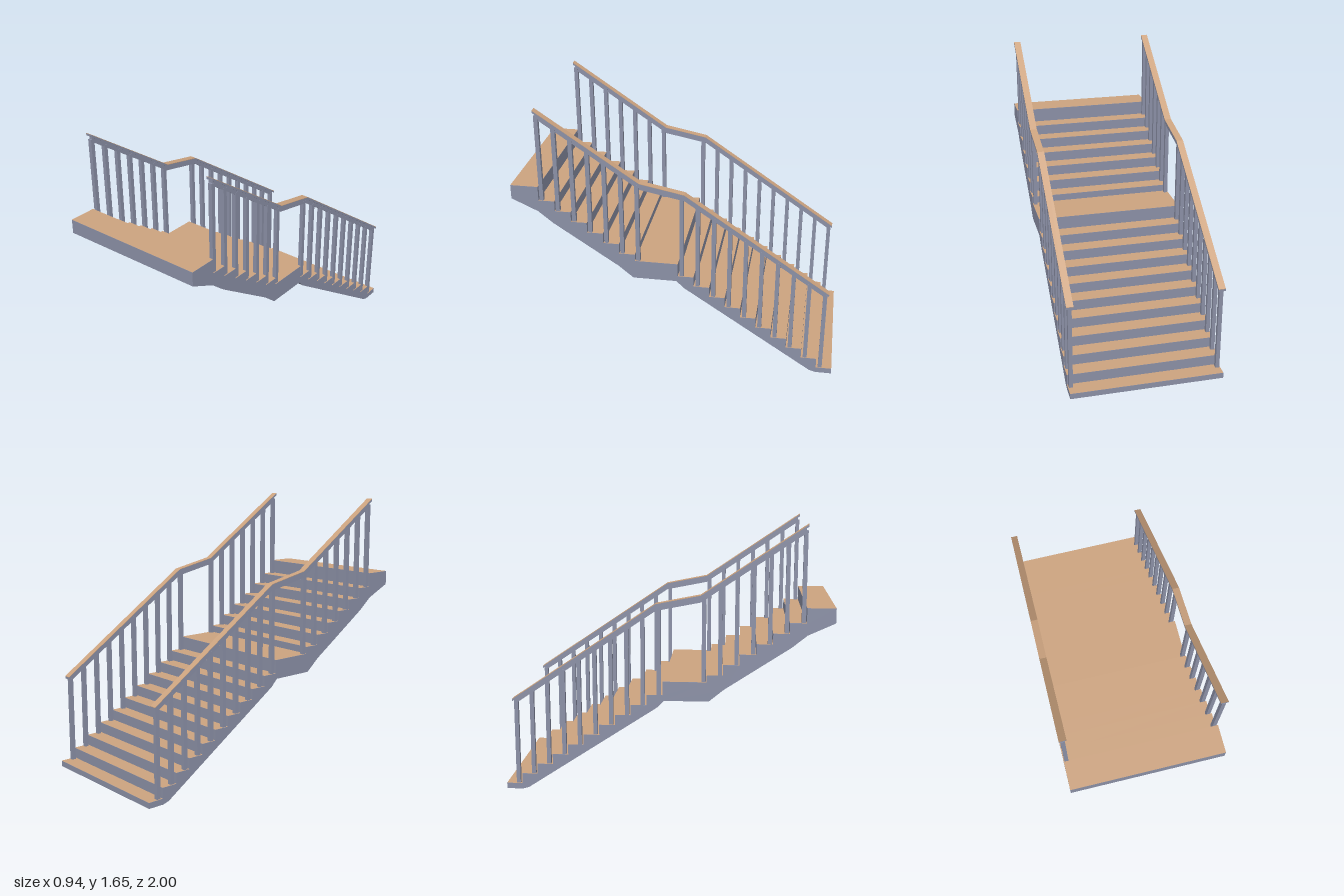
import * as THREE from 'three';

export function createModel() {
  const stair = new THREE.Group();
  stair.name = 'staircase';
  const paint = new THREE.MeshStandardMaterial({ color: 0x8b90a6 });
  paint.name = 'greyPaint';
  const wood = new THREE.MeshStandardMaterial({ color: 0xcca37f });
  wood.name = 'tanWood';

  const add = (parent, name, geometry, material) => {
    const mesh = new THREE.Mesh(geometry, material);
    mesh.name = name;
    parent.add(mesh);
    return mesh;
  };

  // Side profile in [z, y] pairs, extruded across x
  const prism = (points, width, x = 0) => {
    const shape = new THREE.Shape(points.map(([z, y]) => new THREE.Vector2(z, y)));
    const g = new THREE.ExtrudeGeometry(shape, { depth: width, bevelEnabled: false });
    g.translate(0, 0, -width / 2);
    g.rotateY(-Math.PI / 2);
    return g.translate(x, 0, 0);
  };

  // Steps as [zStart, zEnd, height]: lower flight, landing, upper flight, top platform
  const steps = [];
  const lowerRun = 0.0977, upperRun = 0.0978, rise = 0.065;
  for (let i = 0; i < 10; i++) {
    steps.push([-1 + i * lowerRun, -1 + (i + 1) * lowerRun, 0.035 + i * rise]);
  }
  steps.push([-0.023, 0.243, 0.704]);
  for (let i = 0; i < 6; i++) {
    steps.push([0.243 + i * upperRun, 0.243 + (i + 1) * upperRun, 0.748 + i * rise]);
  }
  steps.push([0.83, 1, 1.163]);

  // Solid stair body with stepped top and sloping underside
  const bodyWidth = 0.932;
  const underside = [[1, 1.075], [0.837, 1.0], [0.745, 0.925], [0.345, 0.66], [0.255, 0.585],
    [-0.015, 0.585], [-0.06, 0.54], [-0.86, 0.012], [-0.9, 0], [-1, 0]];
  const profile = [];
  for (const [z0, z1, y] of steps) profile.push([z0, y], [z1, y]);
  add(stair, 'stairBody', prism([...profile, ...underside], bodyWidth), paint);

  // Wooden tread faces
  for (const [z0, z1, y] of steps) {
    const tread = add(stair, 'tread', new THREE.PlaneGeometry(bodyWidth, z1 - z0).rotateX(-Math.PI / 2), wood);
    tread.position.set(0, y + 0.001, (z0 + z1) / 2);
  }

  // Handrail line, top surface
  const line = [[-0.95, 0.58], [-0.065, 1.18], [0.205, 1.234], [0.827, 1.655]];
  const railHeight = (z) => {
    let i = 0;
    while (i < line.length - 2 && z > line[i + 1][0]) i++;
    const [a, b] = [line[i], line[i + 1]];
    return a[1] + (b[1] - a[1]) * (z - a[0]) / (b[0] - a[0]);
  };
  // Strip of the rail line between two depths below the top
  const strip = (top, bottom, inset = 0) => {
    const zs = [line[0][0] + inset, line[1][0], line[2][0], line[3][0] - inset];
    return [...zs.map((z) => [z, railHeight(z) - top]),
      ...zs.slice().reverse().map((z) => [z, railHeight(z) - bottom])];
  };

  // Baluster positions on both flights
  const balusters = [];
  for (let i = 0; i < 10; i++) balusters.push(-0.927 + i * 0.0978);
  for (let i = 0; i < 7; i++) balusters.push(0.224 + i * 0.098);

  for (const side of [-1, 1]) {
    const railing = new THREE.Group();
    railing.name = side > 0 ? 'leftRailing' : 'rightRailing';
    const x = side * 0.449;
    add(railing, 'handrailTop', prism(strip(0, 0.003), 0.043, x), wood);
    add(railing, 'handrail', prism(strip(0.003, 0.016), 0.043, x), paint);
    add(railing, 'underRail', prism(strip(0.016, 0.045, 0.012), 0.022, x), paint);
    for (const z of balusters) {
      const base = steps.find(([z0, z1]) => z >= z0 && z < z1)[2];
      const height = railHeight(z) - 0.028 - base;
      const post = add(railing, 'baluster', new THREE.BoxGeometry(0.024, height, 0.025), paint);
      post.position.set(x, base + height / 2, z);
    }
    stair.add(railing);
  }
  return stair;
}
